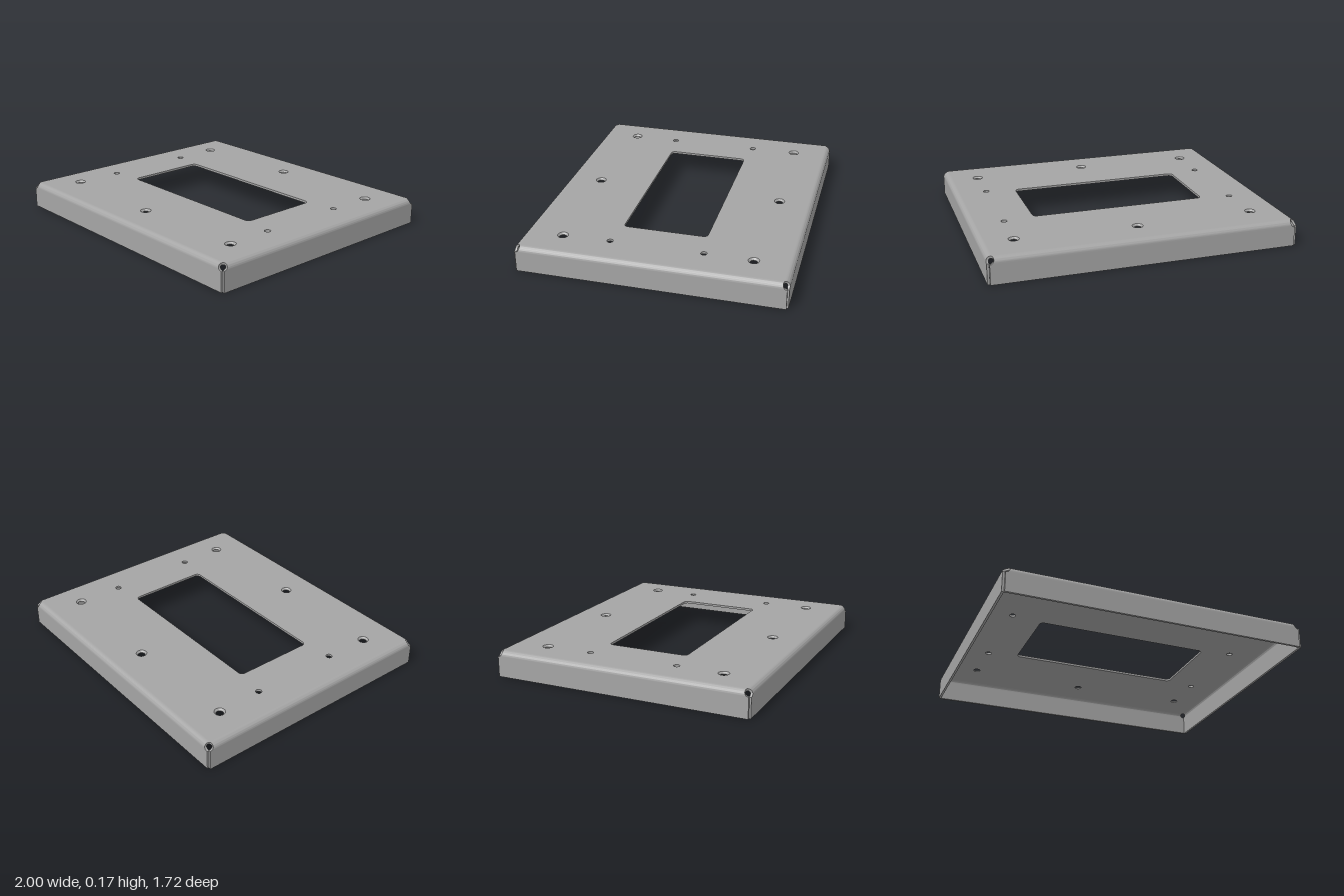
import * as THREE from 'three';
import { toCreasedNormals } from 'three/addons/utils/BufferGeometryUtils.js';

const HALF_X = 1, HALF_Z = 0.859, HEIGHT = 0.172;
const THICK = 0.015, BEND = 0.035;            // sheet thickness, outer bend radius
const RELIEF = 0.027;                         // round corner relief radius
const GAP_X = 0.016, GAP_Z = 0.011;           // how far flange ends stop short of the corner

const material = new THREE.MeshStandardMaterial({ color: 0xa5a5a5, side: THREE.DoubleSide });

function addMesh(parent, name, geometry) {
  const mesh = new THREE.Mesh(toCreasedNormals(geometry, 0.5), material);
  mesh.name = name;
  parent.add(mesh);
  return mesh;
}

function circle(x, y, r) {
  return new THREE.Path().absarc(x, y, r, 0, Math.PI * 2, true);
}

function roundedWindow(w, h, r) {
  const p = new THREE.Path();
  p.absarc(w - r, h - r, r, 0, Math.PI / 2);
  p.absarc(-w + r, h - r, r, Math.PI / 2, Math.PI);
  p.absarc(-w + r, -h + r, r, Math.PI, Math.PI * 1.5);
  p.absarc(w - r, -h + r, r, Math.PI * 1.5, Math.PI * 2);
  p.closePath();
  return p;
}

// Bent flange facing +z: rectangular sections swept round the bend and down to y = 0.
// endGap shortens the flange, sideGap is that of the neighbouring flanges.
function flangeGeometry(halfLength, reach, endGap, sideGap) {
  const steps = 26, pos = [], index = [];
  const neutral = BEND - THICK / 2;
  const bendLength = neutral * Math.PI / 2;
  const centreA = reach - BEND, centreY = HEIGHT - BEND;
  const reliefAt = BEND - sideGap;
  for (let i = 0; i <= steps + 1; i++) {
    const s = Math.min(i / steps, 1) * (reliefAt + RELIEF);
    const angle = Math.min(s, bendLength) / neutral;
    const drop = i > steps ? centreY : Math.max(0, s - bendLength);
    const notch = Math.sqrt(Math.max(0, RELIEF ** 2 - (s - reliefAt) ** 2));
    const e = halfLength - endGap - notch;
    const section = [[-e, BEND], [e, BEND], [e, BEND - THICK], [-e, BEND - THICK]];
    for (const [u, r] of section) {
      pos.push(u, centreY + r * Math.cos(angle) - drop, centreA + r * Math.sin(angle));
    }
  }
  for (let i = 0; i <= steps; i++) {
    for (let k = 0; k < 4; k++) {
      const a = i * 4 + k, b = i * 4 + (k + 1) % 4;
      index.push(a, a + 4, b, b, a + 4, b + 4);
    }
  }
  const n = (steps + 1) * 4;
  index.push(n, n + 3, n + 2, n, n + 2, n + 1);
  const g = new THREE.BufferGeometry();
  g.setAttribute('position', new THREE.Float32BufferAttribute(pos, 3));
  g.setIndex(index);
  return g;
}

export function createModel() {
  const model = new THREE.Group();
  model.name = 'sheetMetalCover';

  const sinkRadius = 0.035, boreRadius = 0.023;
  const screwHoles = [[0, -0.634], [0, 0.632]];
  const smallHoles = [];
  for (const sx of [-1, 1]) for (const sz of [-1, 1]) {
    screwHoles.push([sx * 0.787, sz * 0.61]);
    smallHoles.push([sx * 0.782, sz * 0.3]);
  }

  // Flat top with the window and all holes
  const px = HALF_X - BEND, pz = HALF_Z - BEND;
  const plate = new THREE.Shape([
    new THREE.Vector2(-px, -pz), new THREE.Vector2(px, -pz),
    new THREE.Vector2(px, pz), new THREE.Vector2(-px, pz),
  ]);
  plate.holes.push(roundedWindow(0.585, 0.275, 0.028));
  for (const [x, z] of screwHoles) plate.holes.push(circle(x, -z, sinkRadius));
  for (const [x, z] of smallHoles) plate.holes.push(circle(x, -z, 0.02));
  const plateGeometry = new THREE.ExtrudeGeometry(plate, {
    depth: THICK, bevelEnabled: false, curveSegments: 16,
  });
  plateGeometry.rotateX(-Math.PI / 2);
  addMesh(model, 'topPlate', plateGeometry).position.y = HEIGHT - THICK;

  // Countersunk seats in the screw holes
  const seatProfile = [
    [sinkRadius, THICK], [boreRadius, 0.003], [boreRadius, 0], [sinkRadius, 0],
  ].map(([r, y]) => new THREE.Vector2(r, y));
  for (const [x, z] of screwHoles) {
    const seat = addMesh(model, 'countersink', new THREE.LatheGeometry(seatProfile, 32));
    seat.position.set(x, HEIGHT - THICK, z);
  }

  // Four folded flanges
  ['frontFlange', 'leftFlange', 'backFlange', 'rightFlange'].forEach((name, i) => {
    const geometry = i % 2 === 1
      ? flangeGeometry(HALF_Z, HALF_X, GAP_Z, GAP_X)
      : flangeGeometry(HALF_X, HALF_Z, GAP_X, GAP_Z);
    addMesh(model, name, geometry).rotation.y = i * Math.PI / 2;
  });

  return model;
}
